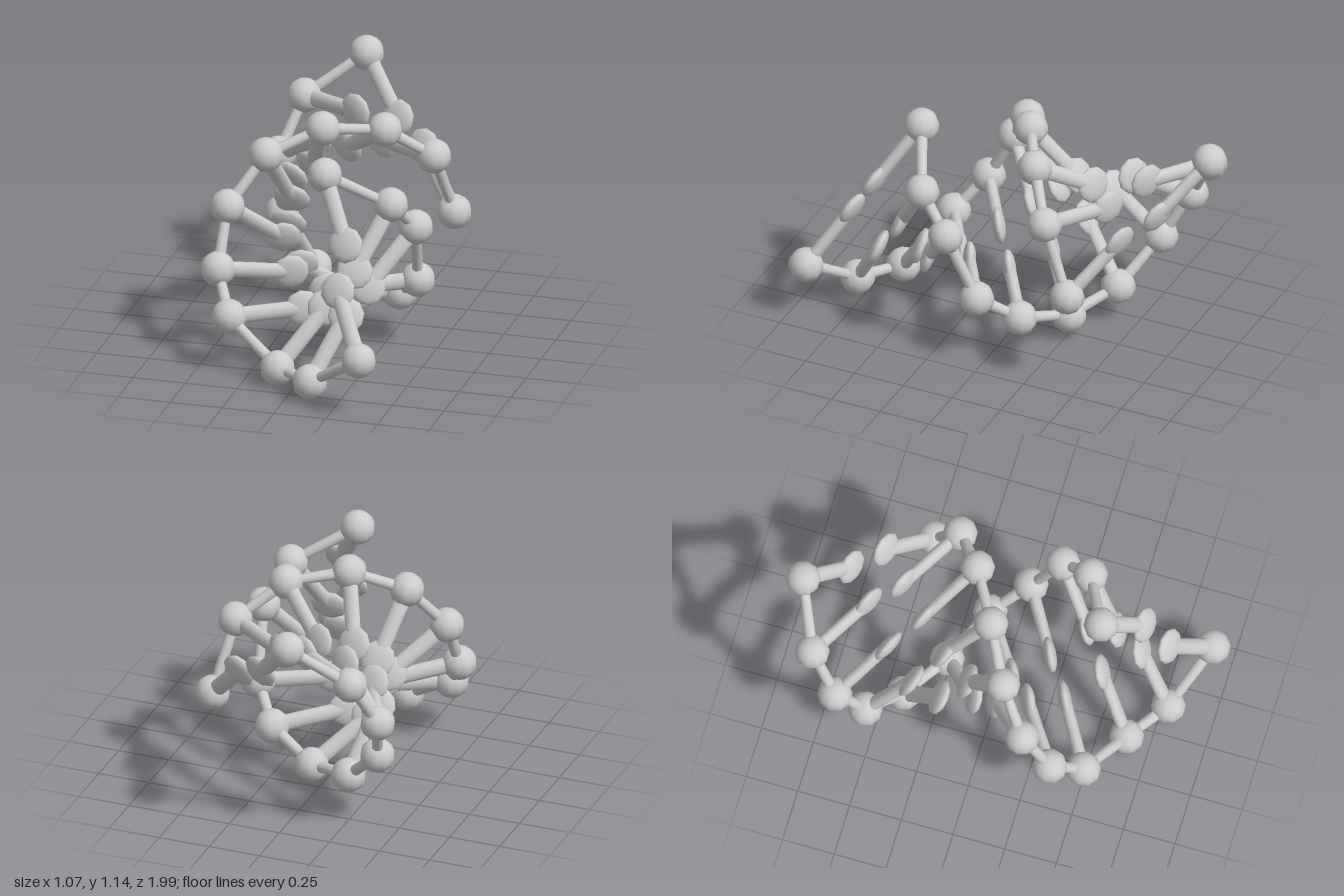
import * as THREE from 'three';

const BALL = 0.082;
const V = (x, y, z) => new THREE.Vector3(x, y, z);
const UP = V(0, 1, 0);
const material = new THREE.MeshStandardMaterial({ color: 0xcccccc });

// ball centres of both strands, front to back
const strandA = [
  [0.092, 1.0, 0.466], [0.372, 0.832, 0.332], [0.447, 0.67, 0.175], [0.415, 0.35, 0.031],
  [0.283, 0.212, -0.127], [0.033, 0.122, -0.261], [-0.207, 0.18, -0.401], [-0.402, 0.38, -0.528],
  [-0.455, 0.62, -0.659], [-0.371, 0.867, -0.794], [-0.106, 1.062, -0.917],
].map((p) => V(...p));
const strandB = [
  [0.386, 0.28, 0.92], [0.112, 0.094, 0.785], [-0.085, 0.087, 0.642], [-0.357, 0.264, 0.514],
  [-0.45, 0.44, 0.379], [-0.442, 0.70, 0.242], [-0.297, 0.922, 0.106], [-0.06, 1.03, -0.021],
  [0.199, 0.998, -0.164], [0.395, 0.834, -0.306], [0.452, 0.51, -0.449],
].map((p) => V(...p));
// rung pairs whose plates lean to the other side
const LEANING = [1, 3, 10];

const ballGeometry = new THREE.SphereGeometry(BALL, 10, 18);
const plateGeometry = new THREE.SphereGeometry(0.086, 10, 16).scale(1, 0.36, 1);

function add(group, geometry, name, position) {
  const mesh = new THREE.Mesh(geometry, material);
  mesh.name = name;
  mesh.position.copy(position);
  group.add(mesh);
  return mesh;
}

// bar between two points, flattened along the given normal
function bar(group, name, from, to, r0, r1, normal, flatness) {
  const dir = to.clone().sub(from);
  const geometry = new THREE.CylinderGeometry(r1, r0, dir.length(), 14).scale(1, 1, flatness);
  const mesh = add(group, geometry, name, from.clone().add(to).multiplyScalar(0.5));
  dir.normalize();
  const across = dir.clone().cross(normal).normalize();
  mesh.quaternion.setFromRotationMatrix(
    new THREE.Matrix4().makeBasis(across, dir, across.clone().cross(dir)));
}

// balls joined by the backbone links
function strand(name, points) {
  const group = new THREE.Group();
  group.name = name;
  points.forEach((p, i) => {
    add(group, ballGeometry, 'backboneBall', p);
    if (i) bar(group, 'backboneLink', points[i - 1], p, 0.028, 0.023, UP, 1);
  });
  return group;
}

// two half rungs reaching towards each other, each ending in a flat plate
function rungPair(a, b, lean) {
  const group = new THREE.Group();
  group.name = 'rungPair';
  const mid = a.clone().add(b).multiplyScalar(0.5);
  const along = b.clone().sub(a);
  const flat = V(along.x, along.y, 0).normalize();
  const side = V(-flat.y, flat.x, 0);
  along.z *= 0.8;
  const normal = side.clone().cross(along).normalize();
  const offset = flat.clone().multiplyScalar(0.084).addScaledVector(side, lean);
  offset.z = 0.06;
  [[a, -1], [b, 1]].forEach(([ball, sign]) => {
    const end = mid.clone().addScaledVector(offset, sign);
    bar(group, 'halfRung', ball, end, 0.04, 0.038, normal, 0.75);
    add(group, plateGeometry, 'rungPlate', end).quaternion.setFromUnitVectors(UP, normal);
  });
  return group;
}

export function createModel() {
  const model = new THREE.Group();
  model.name = 'doubleHelix';
  model.add(strand('firstStrand', strandA), strand('secondStrand', strandB));
  strandA.forEach((a, i) =>
    model.add(rungPair(a, strandB[i], LEANING.includes(i) ? 0.026 : -0.036)));
  return model;
}
